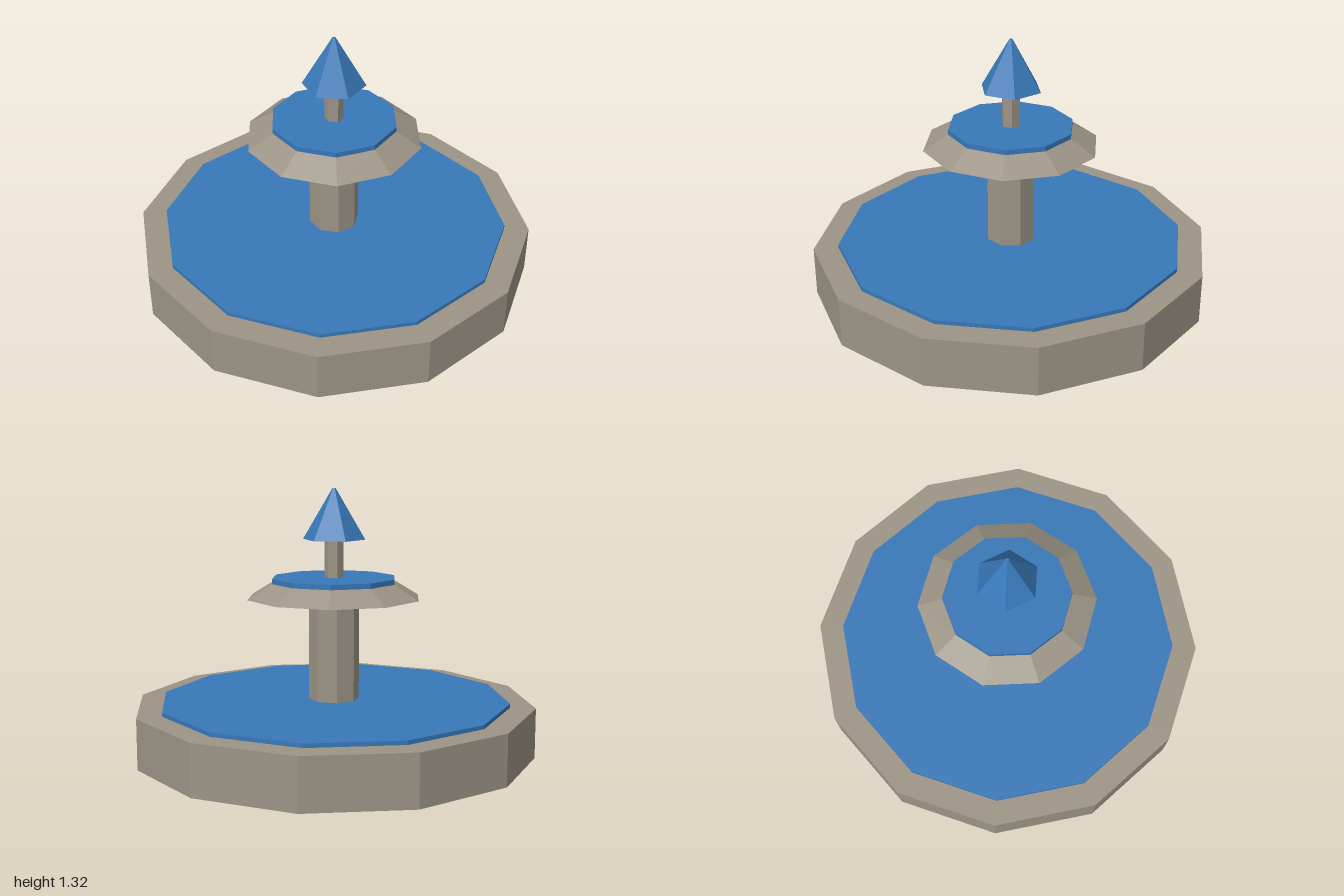
import * as THREE from 'three';

export function createModel() {
  const fountain = new THREE.Group();
  fountain.name = 'fountain';

  const stone = new THREE.MeshStandardMaterial({ color: 0x9c9486, flatShading: true });
  stone.name = 'stone';
  const water = new THREE.MeshStandardMaterial({ color: 0x3878b8, flatShading: true });
  water.name = 'water';

  // Faceted prism or frustum standing between two heights
  function tier(name, material, sides, bottomRadius, topRadius, y0, y1) {
    const geometry = new THREE.CylinderGeometry(topRadius, bottomRadius, y1 - y0, sides);
    const mesh = new THREE.Mesh(geometry, material);
    mesh.name = name;
    mesh.position.y = (y0 + y1) / 2;
    fountain.add(mesh);
  }

  // Lower pool
  tier('basin', stone, 12, 1, 1, 0, 0.25);
  tier('basinWater', water, 12, 0.875, 0.875, 0.24, 0.27);

  // Column carrying the upper bowl
  tier('column', stone, 8, 0.125, 0.125, 0.25, 0.78);
  tier('bowl', stone, 10, 0.4375, 0.3125, 0.78, 0.855);
  tier('bowlWater', water, 10, 0.3125, 0.3125, 0.85, 0.88);

  // Spout and its pointed water jet
  tier('spout', stone, 6, 0.047, 0.047, 0.87, 1.07);
  tier('waterJet', water, 6, 0.155, 0.008, 1.067, 1.317);

  return fountain;
}
